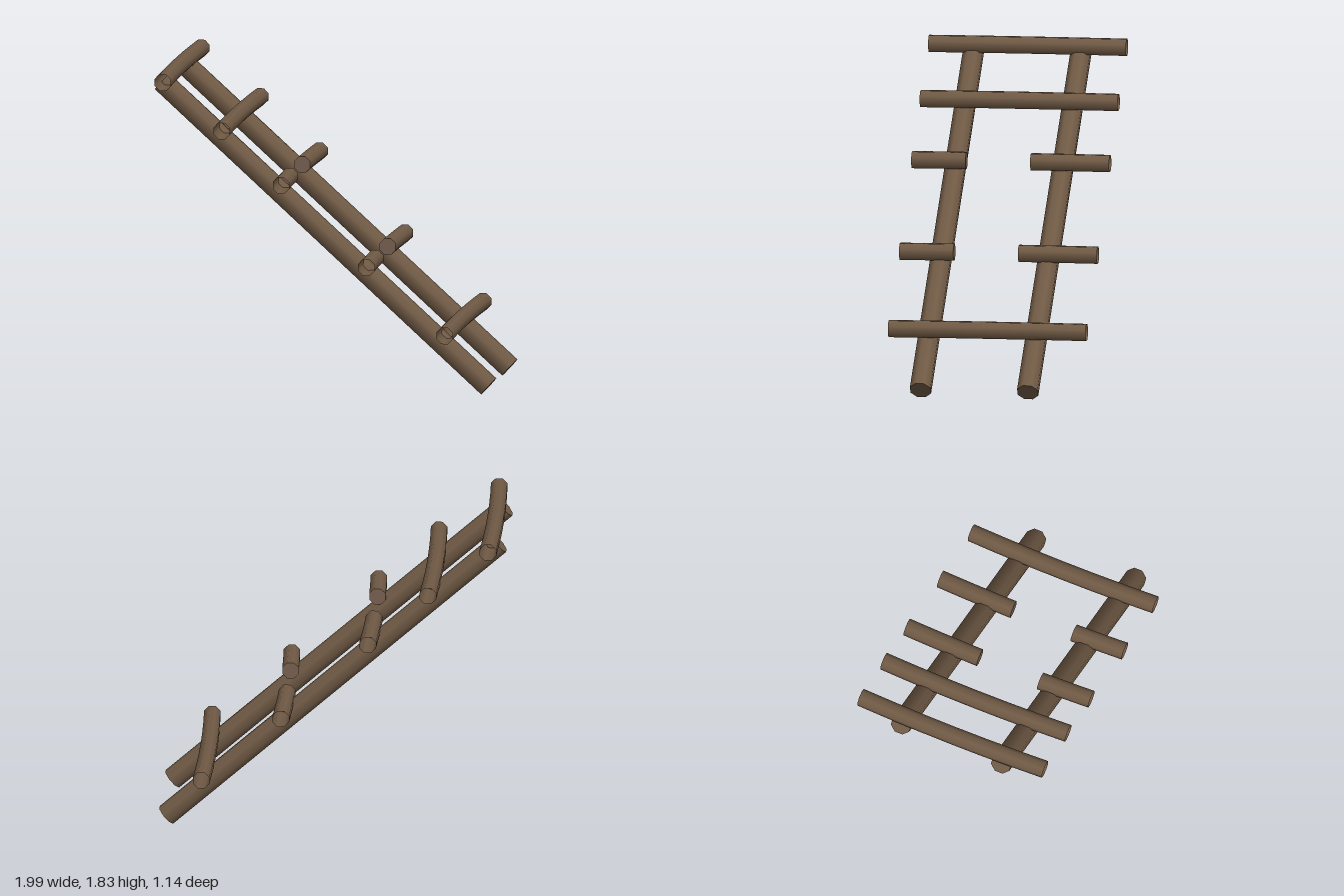
import * as THREE from 'three';

const SIDES = 8;
const TURN = Math.PI / SIDES; // puts flats, not corners, on the axes

export function createModel() {
  const ladder = new THREE.Group();
  ladder.name = 'brokenLadder';

  const wood = new THREE.MeshStandardMaterial({ color: 0x705a45, side: THREE.DoubleSide });
  wood.name = 'brown wood';
  const cutWood = new THREE.MeshStandardMaterial({ color: 0x765f50, side: THREE.DoubleSide });
  cutWood.name = 'cut wood';

  // Leaning rails: solid round poles between two points
  function addRail(name, top, bottom) {
    const a = new THREE.Vector3(...top);
    const b = new THREE.Vector3(...bottom);
    const dir = a.clone().sub(b);
    const geometry = new THREE.CylinderGeometry(0.062, 0.064, dir.length(), SIDES, 1, false, TURN);
    const rail = new THREE.Mesh(geometry, wood);
    rail.name = name;
    rail.position.copy(a).add(b).multiplyScalar(0.5);
    rail.quaternion.setFromUnitVectors(new THREE.Vector3(0, 1, 0), dir.normalize());
    ladder.add(rail);
  }
  addRail('frontRail', [-0.958, 1.74, 0.32], [0.953, 0.041, 0.357]);
  addRail('backRail', [-0.958, 1.74, -0.3], [0.953, 0.041, -0.262]);

  // Rungs bow slightly towards -x in the middle
  const bow = (z) => -0.012 * (1 - (z / 0.57) ** 2);

  // Hollow rung from z0 to z1, open at both ends
  function addRung(name, x, y, z0, z1) {
    const geometry = new THREE.CylinderGeometry(0.051, 0.051, z1 - z0, SIDES, 6, true, TURN);
    geometry.rotateX(Math.PI / 2);
    geometry.translate(0, 0, (z0 + z1) / 2);
    const p = geometry.attributes.position;
    for (let i = 0; i < p.count; i++) p.setX(i, p.getX(i) + bow(p.getZ(i)));
    const rung = new THREE.Mesh(geometry, wood);
    rung.name = name;
    rung.position.set(x, y, 0);
    ladder.add(rung);
    return rung;
  }

  // Closed face on the snapped end of a broken rung
  function addBreak(rung, z, facing) {
    const face = new THREE.Mesh(new THREE.CircleGeometry(0.051, SIDES, TURN), cutWood);
    face.name = 'snappedEnd';
    face.position.set(bow(z), 0, z);
    if (facing < 0) face.rotation.y = Math.PI;
    rung.add(face);
  }

  // Whole rungs
  [[-0.906, 1.778], [-0.562, 1.508], [0.737, 0.363]].forEach(([x, y], i) =>
    addRung('wholeRung' + (i + 1), x, y, -0.573, 0.57));

  // Broken rungs, one stub on each rail
  [[-0.217, 1.204], [0.281, 0.745]].forEach(([x, y], i) => {
    addBreak(addRung('frontStub' + (i + 1), x, y, 0.258, 0.57), 0.258, -1);
    addBreak(addRung('backStub' + (i + 1), x, y, -0.573, -0.115), -0.115, 1);
  });

  return ladder;
}
